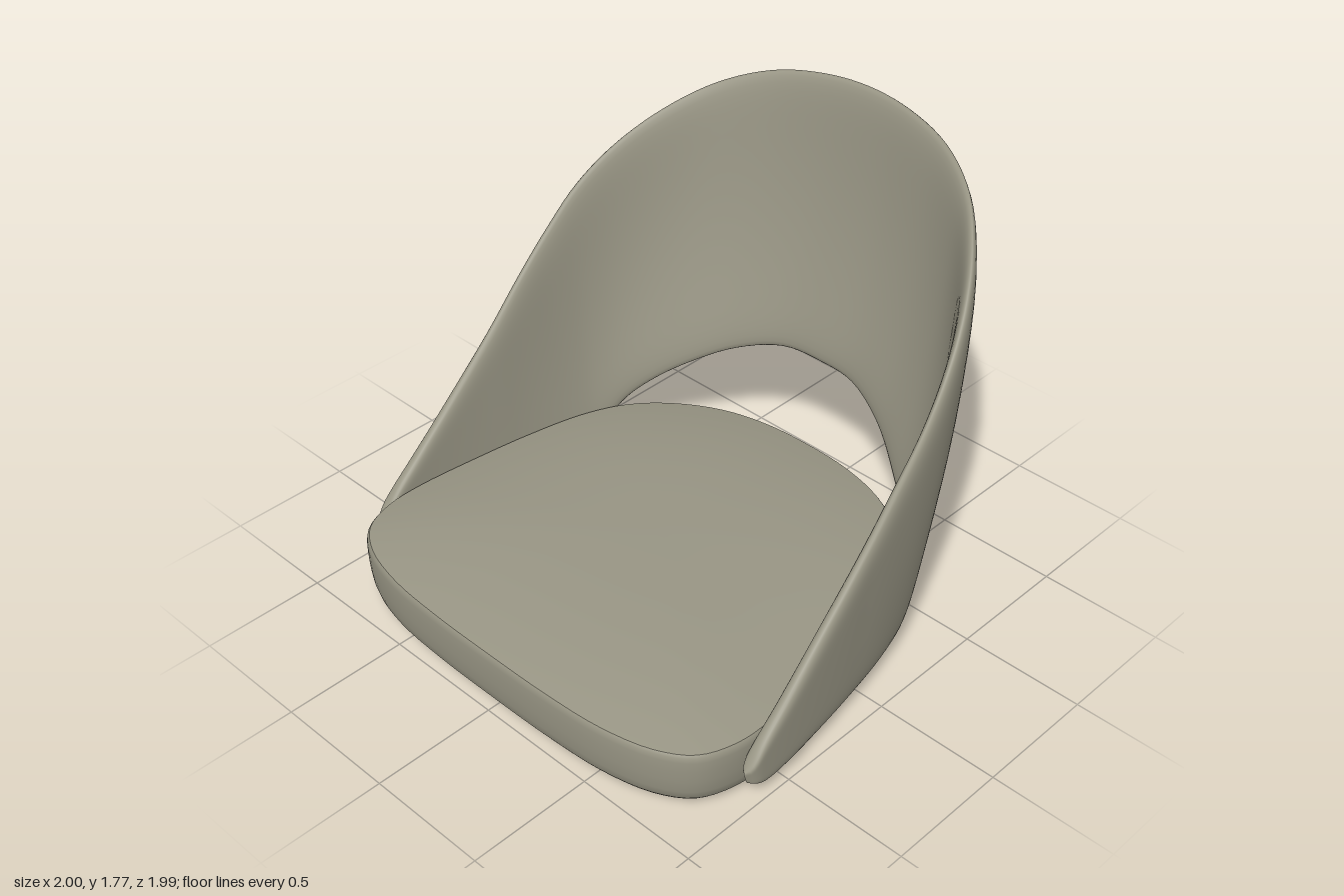
import * as THREE from 'three';

// Indexed surface from f(i, j); i runs along, j runs across, either may wrap round
function grid(f, nu, nv, wrapU, wrapV) {
  const pos = [], idx = [];
  const cu = wrapU ? nu : nu + 1, cv = wrapV ? nv : nv + 1;
  for (let i = 0; i < cu; i++) for (let j = 0; j < cv; j++) pos.push(...f(i, j).toArray());
  const at = (i, j) => (i % cu) * cv + (j % cv);
  for (let i = 0; i < nu; i++) for (let j = 0; j < nv; j++) {
    const a = at(i, j), b = at(i, j + 1), c = at(i + 1, j), d = at(i + 1, j + 1);
    idx.push(a, b, c, b, d, c);
  }
  const g = new THREE.BufferGeometry();
  g.setAttribute('position', new THREE.Float32BufferAttribute(pos, 3));
  g.setIndex(idx);
  g.computeVertexNormals();
  return g;
}

const V = (x, y, z) => new THREE.Vector3(x, y, z);

// Smooth curve through half a row of points and its mirror image
function mirroredCurve(half) {
  const left = half.slice(1).reverse().map(([x, y, z]) => V(-x, y, z));
  return new THREE.CatmullRomCurve3([...left, ...half.map((p) => V(...p))]);
}

// Wrap-around back and arms: a thin shell between a lower edge and an upper rim
function shellGeometry() {
  const rim = mirroredCurve([
    [0, 1.77, -0.975], [0.2, 1.757, -0.96], [0.41, 1.715, -0.91], [0.6, 1.635, -0.808],
    [0.745, 1.525, -0.66], [0.85, 1.395, -0.5], [0.912, 1.255, -0.35], [0.94, 1.1, -0.21],
    [0.95, 0.95, -0.07], [0.956, 0.76, 0.1], [0.962, 0.54, 0.32], [0.968, 0.355, 0.51],
    [0.97, 0.24, 0.63], [0.97, 0.15, 0.7],
  ]);
  const hem = mirroredCurve([
    [0, 0.65, -0.772], [0.18, 0.642, -0.758], [0.37, 0.577, -0.69], [0.535, 0.477, -0.592],
    [0.66, 0.375, -0.505], [0.742, 0.28, -0.43], [0.79, 0.175, -0.36], [0.822, 0.092, -0.29],
    [0.868, 0.07, -0.13], [0.91, 0.062, 0.09], [0.942, 0.056, 0.32], [0.96, 0.052, 0.5],
    [0.967, 0.062, 0.61], [0.969, 0.1, 0.685],
  ]);
  const mid = (u, v) => {
    const b = hem.getPoint(u), t = rim.getPoint(u);
    const s = Math.abs(u - 0.5) * 26;
    const bulge = 0.04 * Math.max(0, 1 - (s / 9) ** 2) * Math.sin(Math.PI * v);
    const p = b.lerp(t, v);
    const out = V(p.x, 0, p.z).normalize();
    return p.addScaledVector(out, bulge);
  };
  const nu = 130, half = 24, e = 0.004;
  return grid((i, j) => {
    const u = i / nu, a = (Math.PI * j) / half;
    const v = 0.5 - 0.5 * Math.cos(a);
    const lo = (t) => Math.max(0, t - e), hi = (t) => Math.min(1, t + e);
    const du = mid(hi(u), v).sub(mid(lo(u), v));
    const dv = mid(u, hi(v)).sub(mid(u, lo(v)));
    const n = dv.cross(du).normalize();
    // thickness tapers to rounded edges and tips
    const s = Math.abs(u - 0.5) * 26;
    const tip = Math.sqrt(Math.max(0, 1 - Math.max(0, (s - 12.2) / 0.8) ** 2));
    const h = 0.03 * tip * Math.sqrt(Math.max(0, 1 - Math.cos(a) ** 8));
    return mid(u, v).addScaledVector(n, j <= half ? h : -h);
  }, nu, half * 2, false, true);
}

// Plan outline of the seat, starting at the back
const halfOutline = [
  [0, -0.73], [0.22, -0.717], [0.42, -0.665], [0.6, -0.56], [0.73, -0.43], [0.815, -0.26],
  [0.872, -0.02], [0.912, 0.26], [0.937, 0.53], [0.928, 0.69], [0.872, 0.825], [0.75, 0.912],
  [0.55, 0.968], [0.3, 0.99], [0, 0.995],
];
const outline = new THREE.CatmullRomCurve3([
  ...halfOutline.map(([x, z]) => V(x, 0, z)),
  ...halfOutline.slice(1, -1).reverse().map(([x, z]) => V(-x, 0, z)),
], true);

// Stack scaled copies of the outline; the whole cushion arches across its width
function cushionGeometry(rings) {
  const n = 112;
  return grid((i, j) => {
    const [scale, y] = rings[j];
    const p = outline.getPoint(i / n);
    const x = p.x * scale, z = 0.13 + (p.z - 0.13) * scale;
    return V(x, y + 0.018 * (1 - (x / 0.94) ** 2), z);
  }, n, rings.length - 1, true, false);
}

export function createModel() {
  const group = new THREE.Group();
  const upholstery = new THREE.MeshStandardMaterial({ color: 0x989584 });
  upholstery.name = 'warm grey upholstery';
  const add = (name, geometry) => {
    const mesh = new THREE.Mesh(geometry, upholstery);
    mesh.name = name;
    group.add(mesh);
  };

  // Cushion underside and side wall
  add('seatBase', cushionGeometry([
    [0, -0.008], [0.4, -0.008], [0.8, -0.006], [0.9, -0.002], [0.94, 0.003], [0.965, 0.014],
    [0.982, 0.036], [0.992, 0.075], [0.998, 0.13], [1, 0.18], [1, 0.22], [0.997, 0.24],
    [0.99, 0.25],
  ]));

  // Domed cushion top
  const dome = [];
  for (let k = 0; k <= 14; k++) {
    const r = Math.cos((k / 14) * Math.PI / 2);
    dome.push([0.99 * r, 0.25 + 0.066 * (1 - r ** 2.8)]);
  }
  add('seatTop', cushionGeometry(dome));

  add('backShell', shellGeometry());
  return group;
}
